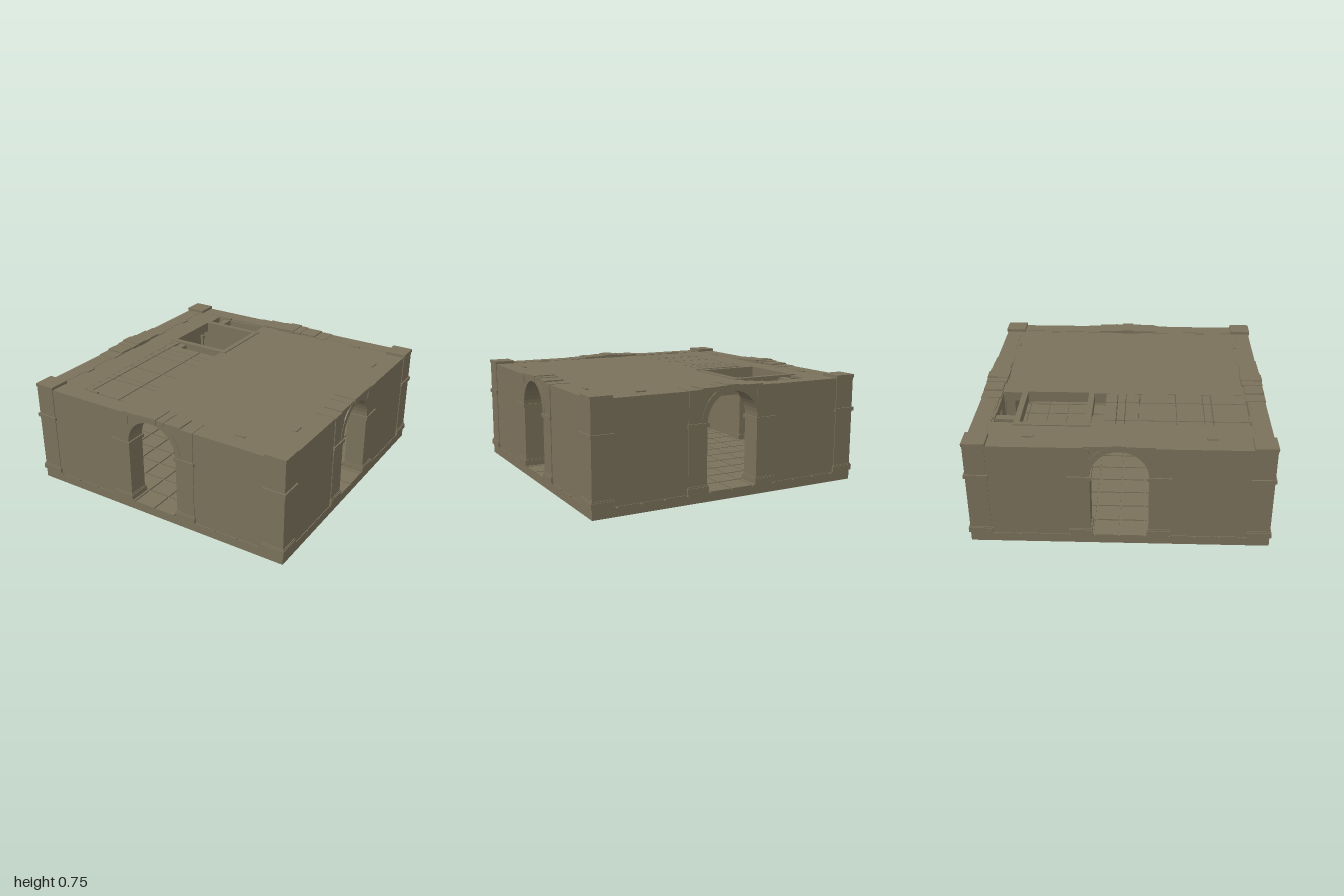
import * as THREE from 'three';
import { mergeGeometries } from 'three/addons/utils/BufferGeometryUtils.js';

const stone = new THREE.MeshStandardMaterial({ color: 0x7a715b });
stone.name = 'weathered stone';

// Box from its minimum and maximum corners
function slab(x0, x1, y0, y1, z0, z1) {
  return new THREE.BoxGeometry(x1 - x0, y1 - y0, z1 - z0)
    .translate((x0 + x1) / 2, (y0 + y1) / 2, (z0 + z1) / 2);
}

function part(name, ...geometries) {
  const mesh = new THREE.Mesh(
    geometries.length > 1 ? mergeGeometries(geometries) : geometries[0], stone);
  mesh.name = name;
  return mesh;
}

function rectangle(Type, x0, x1, z0, z1) {
  const r = new Type();
  r.moveTo(x0, z0).lineTo(x1, z0).lineTo(x1, z1).lineTo(x0, z1).closePath();
  return r;
}

// Horizontal plate with one rectangular opening
function openPlate(outer, inner, top, thickness) {
  const shape = rectangle(THREE.Shape, ...outer);
  shape.holes.push(rectangle(THREE.Path, ...inner));
  return new THREE.ExtrudeGeometry(shape, { depth: thickness, bevelEnabled: false })
    .rotateX(Math.PI / 2).translate(0, top, 0);
}

const FLOOR = 0.065, TOP = 0.73, SPRING = 0.52, R = 0.19;

// Square pillar with a foot and a middle band
function pillar(name, x0, x1, top, capped) {
  const z0 = 0.85, z1 = 0.99, e = 0.01;
  const pieces = [
    slab(x0, x1, FLOOR, top, z0, z1),
    slab(x0 - e, x1 + e, 0.07, 0.105, z0 - e, z1 + e),
    slab(x0 - e / 2, x1 + e / 2, 0.105, 0.115, z0 - e / 2, z1 + e / 2),
    slab(x0 - e, x1 + e, 0.495, 0.52, z0 - e, z1 + e),
  ];
  if (capped) pieces.push(slab(x0 - e / 2, x1 + e / 2, 0.728, 0.75, z0 - e / 2, z1 + e / 2));
  return part(name, ...pieces);
}

// One side of the room: arched wall, pillars, arch stones and pegs
function createSide() {
  const side = new THREE.Group();
  side.name = 'wallSide';

  const shape = new THREE.Shape();
  shape.moveTo(-0.92, FLOOR).lineTo(-R, FLOOR).lineTo(-R, SPRING);
  shape.absarc(0, SPRING, R, Math.PI, 0, true);
  shape.lineTo(R, FLOOR).lineTo(0.92, FLOOR).lineTo(0.92, TOP).lineTo(-0.92, TOP);
  side.add(part('archedWall', new THREE.ExtrudeGeometry(shape,
    { depth: 0.115, bevelEnabled: false, curveSegments: 10 }).translate(0, 0, 0.87)));

  const ring = new THREE.Shape();
  ring.absarc(0, SPRING, 0.23, 0, Math.PI, false);
  ring.absarc(0, SPRING, R, Math.PI, 0, true);
  side.add(part('archRing', new THREE.ExtrudeGeometry(ring,
    { depth: 0.145, bevelEnabled: false, curveSegments: 10 }).translate(0, 0, 0.848)));

  side.add(pillar('archPillarLeft', R, 0.325, 0.733, false));
  side.add(pillar('archPillarRight', -0.325, -R, 0.733, false));
  side.add(pillar('cornerPillar', 0.85, 0.99, 0.74, true));
  side.add(part('archCap',
    slab(-0.23, 0.23, 0.715, 0.742, 0.855, 0.989),
    slab(-0.105, 0.105, 0.715, 0.746, 0.845, 0.991)));
  side.add(part('keystone', slab(-0.045, 0.045, 0.711, 0.752, 0.842, 0.996)));
  side.add(part('wallPegs', ...[-0.59, 0.59].map(
    x => slab(x - 0.035, x + 0.035, 0.66, 0.736, 0.842, 0.86))));
  return side;
}

export function createModel() {
  const model = new THREE.Group();
  model.name = 'archedRoom';

  // Base and grid of floor tiles
  model.add(part('base', slab(-0.99, 0.99, 0, 0.055, -0.99, 0.99)));
  const tiles = [], pitch = 0.165, gap = 0.006;
  for (let i = 0; i < 12; i++) {
    for (let j = 0; j < 12; j++) {
      const x = -0.99 + i * pitch, z = -0.99 + j * pitch;
      tiles.push(slab(x + (i ? gap : 0), x + pitch - (i < 11 ? gap : 0), 0.054, FLOOR,
        z + (j ? gap : 0), z + pitch - (j < 11 ? gap : 0)));
    }
  }
  model.add(part('floorTiles', ...tiles));

  // Four matching sides
  for (let i = 0; i < 4; i++) {
    const side = createSide();
    side.rotation.y = i * Math.PI / 2;
    model.add(side);
  }

  // Roof with a long strip left open for planks and hatch
  model.add(part('roof', openPlate([-0.88, 0.88, -0.88, 0.88], [-0.67, -0.24, -0.86, 0.86], 0.728, 0.066)));

  // Planks filling the strip, with narrow joints
  const columns = [[-0.675, -0.624], [-0.616, -0.374], [-0.366, -0.235]];
  const rows = [[-0.116, -0.038], [-0.032, 0.02], [0.026, 0.114], [0.122, 0.362],
    [0.37, 0.55], [0.556, 0.606], [0.614, 0.85]];
  const planks = [];
  for (const [z0, z1] of rows) {
    for (const [x0, x1] of columns) planks.push(slab(x0, x1, 0.662, 0.727, z0, z1));
  }
  model.add(part('roofPlanks', ...planks));

  // Hatch frame and the beams beside it
  model.add(part('hatchFrame', openPlate([-0.71, -0.2, -0.71, -0.2], [-0.67, -0.24, -0.67, -0.24], 0.735, 0.073)));
  model.add(part('hatchBeams',
    slab(-0.616, -0.56, 0.662, 0.72, -0.86, -0.705),
    slab(-0.616, -0.56, 0.662, 0.72, -0.205, -0.116),
    slab(-0.675, -0.624, 0.662, 0.727, -0.205, -0.116),
    slab(-0.675, -0.235, 0.662, 0.72, -0.862, -0.845)));
  return model;
}
